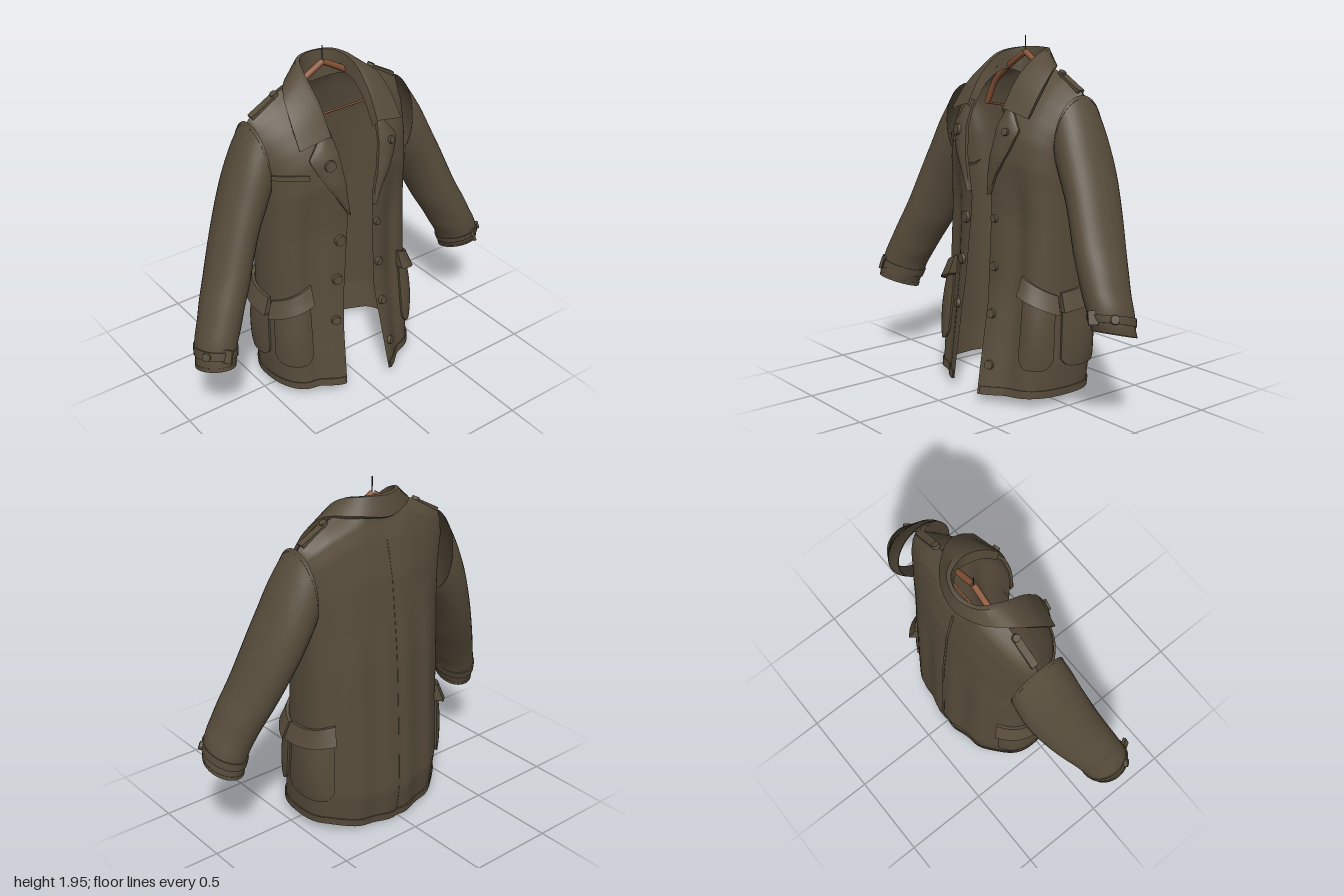
import * as THREE from 'three';
import { toCreasedNormals } from 'three/addons/utils/BufferGeometryUtils.js';

const mat = (name, color, side = THREE.FrontSide) => {
  const m = new THREE.MeshStandardMaterial({ color, side });
  m.name = name;
  return m;
};

// straight-line interpolation through [key, value] pairs
function lerpTable(t, k) {
  if (k <= t[0][0]) return t[0][1];
  for (let i = 1; i < t.length; i++) {
    if (k <= t[i][0]) {
      const f = (k - t[i - 1][0]) / (t[i][0] - t[i - 1][0]);
      return t[i - 1][1] + f * (t[i][1] - t[i - 1][1]);
    }
  }
  return t[t.length - 1][1];
}

// coat profiles by height; the coat faces +x
const FRONT = [[0, 0.305], [0.3, 0.265], [0.6, 0.23], [1, 0.21], [1.3, 0.215], [1.45, 0.19], [1.55, 0.14], [1.65, 0.07], [1.75, -0.02], [1.8, -0.1]];
const BACK = [[0, -0.335], [0.2, -0.365], [0.6, -0.35], [1, -0.33], [1.2, -0.31], [1.45, -0.285], [1.65, -0.24], [1.75, -0.2], [1.8, -0.1]];
const WIDTH = [[0, 0.455], [0.2, 0.465], [0.6, 0.455], [1.2, 0.45], [1.45, 0.46], [1.65, 0.49], [1.8, 0.49]];
const SHOULDER = [[0, 1.79], [0.15, 1.82], [0.34, 1.75], [0.46, 1.68], [0.5, 1.63]];
const EDGE = {
  1: [[0, 0.13], [0.4, 0.12], [1.07, 0.065], [1.54, 0.14], [1.8, 0.15]],
  '-1': [[0, 0.14], [0.6, 0.1], [1.2, 0.1], [1.54, 0.16], [1.8, 0.15]],
};
// squareness of each quarter of the section: 1 is an ellipse, less is squarer
const squareness = (front, left) => front ? (left ? 0.78 : 0.72) : (left ? 0.97 : 0.85);

// point on the coat body: angle a from the front (+ is +z), height h 0..1.8
function body(a, h) {
  const c = Math.cos(a), s = Math.sin(a), e = squareness(c > 0, s > 0);
  const z = lerpTable(WIDTH, h) * Math.sign(s) * Math.abs(s) ** e;
  const az = Math.abs(z), xc = -0.06 - 0.04 * h / 1.8;
  const drape = 1 - THREE.MathUtils.smoothstep(h, 0.9, 1.5);
  let lim;
  if (c > 0) {
    // hanging fold beside the front edge, flared corner on the right panel
    lim = lerpTable(FRONT, h) - 0.04 * drape * Math.exp(-(((az - 0.27) / 0.07) ** 2));
    if (z < 0) lim += 0.075 * Math.max(0, 1 - h / 0.5) * Math.max(0, 1 - az / 0.35);
  } else {
    lim = Math.min(lerpTable(BACK, h), -0.2 + 0.1 * THREE.MathUtils.smoothstep(az, 0.1, 0.2));
    lim -= 0.008 * Math.sin(az * 30) * drape;
  }
  const hem = c > 0 ? 0.04 + 0.02 * az : 0.05 * Math.min(1, (az / 0.4) ** 2);
  const y = hem + h / 1.8 * (lerpTable(SHOULDER, az) - hem);
  return new THREE.Vector3(xc + (lim - xc) * Math.abs(c) ** e, y, z);
}
function bodyNormal(a, h) {
  const d = 0.02, h1 = Math.max(0, h - d), h2 = Math.min(1.8, h + d);
  const n = body(a + d, h).sub(body(a - d, h)).cross(body(a, h2).sub(body(a, h1))).normalize();
  return n.x * Math.cos(a) + n.z * Math.sin(a) < 0 ? n.negate() : n;
}
// front angle at which the body reaches z
const frontAngle = (z, h) =>
  Math.sign(z) * Math.asin(Math.min(1, Math.abs(z) / lerpTable(WIDTH, h)) ** (1 / squareness(true, z > 0)));

// surface from a function of two indices
function grid(nu, nv, fn) {
  const pos = [], idx = [], w = nu + 1;
  for (let j = 0; j <= nv; j++) for (let i = 0; i <= nu; i++) pos.push(...fn(i, j).toArray());
  for (let j = 0; j < nv; j++) for (let i = 0; i < nu; i++) {
    const p = j * w + i;
    idx.push(p, p + w, p + 1, p + 1, p + w, p + w + 1);
  }
  const g = new THREE.BufferGeometry();
  g.setAttribute('position', new THREE.Float32BufferAttribute(pos, 3));
  g.setIndex(idx);
  g.computeVertexNormals();
  return g;
}
// raised cloth piece lying on the body; at(u, v) gives [angle, height]
function patch(at, offset, nu = 14, nv = 14) {
  const clamp = (i, n) => THREE.MathUtils.clamp((i - 1) / (n - 2), 0, 1);
  return toCreasedNormals(grid(nu, nv, (i, j) => {
    const u = clamp(i, nu), v = clamp(j, nv);
    const [a, h] = at(u, v);
    const rim = i === 0 || j === 0 || i === nu || j === nv;
    return body(a, h).addScaledVector(bodyNormal(a, h), rim ? 0.002 : offset(u, v));
  }), 0.7);
}

export function createModel() {
  const coat = new THREE.Group();
  coat.name = 'coatOnHanger';
  const cloth = mat('olive cloth', 0x574c3b, THREE.DoubleSide);
  const wood = mat('hanger wood', 0x8a5638);
  const wire = mat('hook metal', 0x2e2c2a);
  const add = (name, geo, m = cloth) => {
    const mesh = new THREE.Mesh(geo, m);
    mesh.name = name;
    coat.add(mesh);
    return mesh;
  };
  const button = (name, p, n, r) => {
    const b = add(name, new THREE.CylinderGeometry(r * 0.9, r, 0.018, 18));
    b.position.copy(p);
    b.quaternion.setFromUnitVectors(new THREE.Vector3(0, 1, 0), n);
  };

  // open-fronted body
  add('body', grid(120, 64, (i, j) => {
    const h = j / 64 * 1.8;
    const a0 = frontAngle(lerpTable(EDGE[1], h), h), a1 = 2 * Math.PI + frontAngle(-lerpTable(EDGE[-1], h), h);
    return body(a0 + (a1 - a0) * i / 120, h);
  }));
  add('hemBand', patch((u, v) => [0.22 + u * (2 * Math.PI - 0.44), v * 0.045], () => 0.008, 120, 5));
  add('backSeam', patch((u, v) => [Math.PI + (u - 0.5) * 0.02, 0.05 + v * 1.6], () => 0.004, 4, 40));

  // collar: neck base, fold line and outer edge swept around the neck
  const sweep = half => new THREE.CatmullRomCurve3([...half, ...half.slice(0, -1).reverse().map(([x, y, z]) => [x, y, -z])].map(p => new THREE.Vector3(...p)));
  const rails = [
    sweep([[0.15, 1.54, 0.14], [0.04, 1.7, 0.14], [-0.09, 1.76, 0.14], [-0.16, 1.74, 0.1], [-0.19, 1.72, 0]]),
    sweep([[0.175, 1.58, 0.15], [0.075, 1.74, 0.155], [-0.06, 1.85, 0.15], [-0.17, 1.88, 0.1], [-0.205, 1.885, 0]]),
    sweep([[0.175, 1.58, 0.17], [0.075, 1.745, 0.18], [-0.06, 1.85, 0.18], [-0.18, 1.88, 0.12], [-0.225, 1.88, 0]]),
    sweep([[0.15, 1.54, 0.33], [0.05, 1.68, 0.32], [-0.06, 1.775, 0.285], [-0.2, 1.79, 0.16], [-0.25, 1.77, 0]]),
    sweep([[0.13, 1.535, 0.32], [0.035, 1.665, 0.31], [-0.06, 1.755, 0.275], [-0.19, 1.775, 0.155], [-0.235, 1.76, 0]]),
  ];
  add('collar', toCreasedNormals(grid(56, 4, (i, j) => rails[j].getPoint(i / 56)), 0.9));

  // sleeve rings: [outer z, y, inner z, y, centre x, half depth]
  const rings = [
    [0.485, 1.66, 0.44, 1.2, -0.08, 0.165], [0.565, 1.53, 0.465, 1.15, -0.07, 0.172],
    [0.67, 1.31, 0.53, 1.03, -0.045, 0.172], [0.825, 0.94, 0.62, 0.83, 0.025, 0.158],
    [0.92, 0.73, 0.705, 0.655, 0.085, 0.14], [0.98, 0.57, 0.765, 0.52, 0.125, 0.13], [0.995, 0.455, 0.79, 0.425, 0.15, 0.12]];
  const outer = new THREE.CatmullRomCurve3(rings.map(r => new THREE.Vector3(r[4], r[1], r[0])));
  const inner = new THREE.CatmullRomCurve3(rings.map(r => new THREE.Vector3(r[5], r[3], r[2])));

  for (const s of [1, -1]) {
    const side = s > 0 ? 'left' : 'right';
    const sleeve = (t, f, k) => {
      const o = outer.getPoint(t), n = inner.getPoint(t);
      const c = Math.cos(f) * k * (1 + 0.02 * Math.sin(t * 34 + f) * t) / 2;
      const dx = n.x * k * Math.sin(f);
      // rings tip forward towards the cuff, as the arm swings forward
      const p = new THREE.Vector3(o.x + dx, (o.y + n.y) / 2 + (o.y - n.y) * c + 0.33 * t * dx, (o.z + n.z) / 2 + (o.z - n.z) * c);
      if (s < 0) p.add(new THREE.Vector3(-0.1 * t * t, 0.06 * t * t, 0)).setZ(-p.z);
      return p;
    };
    const band = (name, t0, t1, k) => add(side + name, toCreasedNormals(grid(36, 5, (i, j) =>
      sleeve(t0 + (t1 - t0) * THREE.MathUtils.clamp((j - 1) / 3, 0, 1), i / 18 * Math.PI, j === 0 || j === 5 ? 1.005 : k)), 0.7));
    add(side + 'Sleeve', grid(36, 48, (i, j) => sleeve(j / 48, i / 18 * Math.PI, 1)));
    band('ArmholeSeam', 0.005, 0.025, 1.013);
    band('CuffStrap', 0.83, 0.9, 1.06);
    band('CuffHem', 0.965, 1, 1.02);

    // cuff tab and its button
    const q = sleeve(0.865, 0.55, 1.1), m = sleeve(0.865, 0.55, 0).sub(q).negate().normalize();
    button(side + 'CuffButton', q, m, 0.025);
    const tab = add(side + 'CuffTab', new THREE.BoxGeometry(0.05, 0.07, 0.018));
    tab.position.copy(sleeve(0.86, 1.5, 1.08));
    tab.rotation.set(-0.4 * s, 0.5 * s, 0.2);

    // shoulder strap
    const strap = add(side + 'ShoulderStrap', new THREE.BoxGeometry(0.04, 0.02, 0.16));
    strap.position.set(-0.1, 1.712, 0.39 * s);
    strap.rotation.x = 0.5 * s;
    button(side + 'ShoulderButton', new THREE.Vector3(-0.1, 1.763, 0.315 * s), new THREE.Vector3(0, 0.9, 0.44 * s).normalize(), 0.022);

    // folded lapel
    add(side + 'Lapel', patch((u, v) => {
      const h = 1.1 + v * 0.47, fold = lerpTable(EDGE[s], h) - 0.005;
      const tip = lerpTable([[1.1, fold + 0.01], [1.48, 0.275], [1.57, 0.19]], h);
      return [s * Math.abs(frontAngle(s * (fold + u * (tip - fold)), h)), h];
    }, u => 0.02 + 0.012 * Math.sin(u * Math.PI), 10, 24));

    // patch pockets with flaps, on the front corner and on the side
    for (const [name, a0, a1, tilt] of [['Front', s > 0 ? 0.6 : 0.68, 1.28, -0.08], ['Side', 1.4, 2.22, 0.05]]) {
      add(side + name + 'Pocket', patch((u, v) => {
        const round = 0.06 * Math.abs(2 * u - 1) ** 5 * (1 - v);
        return [s * (a0 + u * (a1 - a0)), 0.17 + round + v * 0.4];
      }, (u, v) => 0.014 + 0.02 * Math.sin(u * Math.PI) * Math.sin(v * 2.6 + 0.3)));
      add(side + name + 'PocketFlap', patch((u, v) =>
        [s * (a0 - 0.03 + u * (a1 - a0 + 0.06)), 0.54 + v * 0.11 + tilt * (u - 0.5)],
      (u, v) => 0.018 + 0.037 * (1 - v)));
    }
  }

  // chest pocket welt
  add('chestPocket', patch((u, v) => [frontAngle(0.28 + u * 0.15, 1.38), 1.375 + u * 0.065 + v * 0.03], () => 0.012, 8, 5));

  // front buttons: [z, height, radius]
  for (const [z, h, r] of [[0.18, 1.42, 0.033], [0.12, 0.935, 0.033], [0.145, 0.69, 0.03], [0.165, 0.43, 0.028],
    [-0.13, 0.965, 0.022], [-0.14, 0.7, 0.026], [-0.15, 0.44, 0.026], [-0.18, 0.165, 0.026], [-0.21, 1.45, 0.022]]) {
    const a = frontAngle(z, h), n = bodyNormal(a, h);
    button('frontButton', body(a, h).addScaledVector(n, h > 1.2 ? 0.035 : 0.008), n, r);
  }

  // hanger: two sloping arms, a lower bar and a wire hook
  const rod = (name, pts, r, m) => add(name, new THREE.TubeGeometry(
    new THREE.CatmullRomCurve3(pts.map(([y, z]) => new THREE.Vector3(-0.11, y, z))), 24, r, 8), m);
  for (const s of [1, -1]) rod('hangerArm', [[1.86, 0], [1.78, 0.14 * s], [1.69, 0.26 * s], [1.555, 0.34 * s]], 0.017, wood);
  rod('hangerBar', [[1.555, -0.34], [1.555, 0.34]], 0.006, wood);
  rod('hangerHook', [[1.84, 0], [1.95, 0]], 0.003, wire);
  return coat;
}
